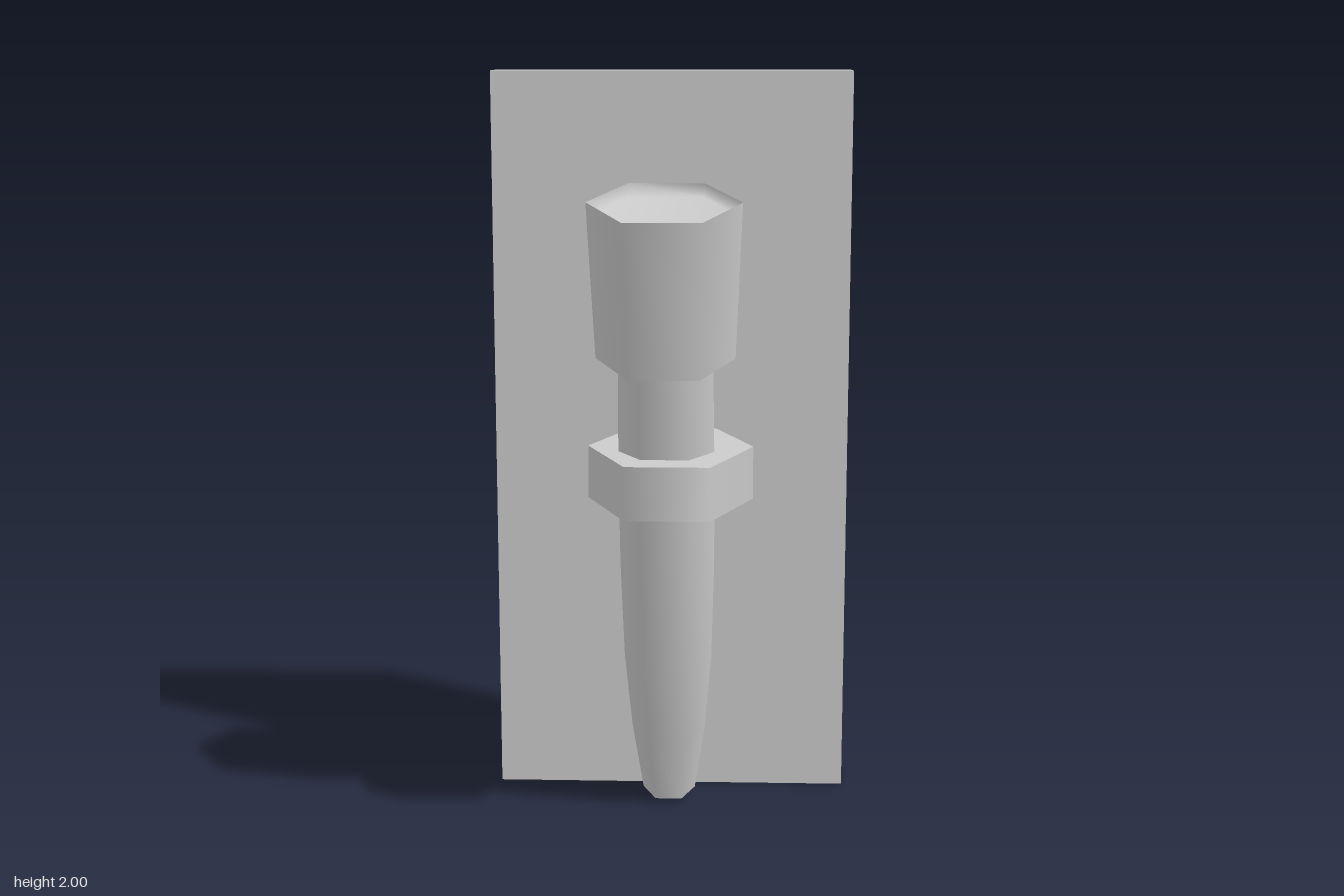
import * as THREE from 'three';

const SIDES = 6;
const material = new THREE.MeshStandardMaterial({ color: 0xcccccc });

function addMesh(parent, name, geometry) {
  const mesh = new THREE.Mesh(geometry, material);
  mesh.name = name;
  parent.add(mesh);
  return mesh;
}

// Six-sided turned part with a corner on the x axis; profile is [radius, height]
function turned(profile) {
  const points = profile.map(([r, y]) => new THREE.Vector2(r, y));
  return new THREE.LatheGeometry(points, SIDES, Math.PI / 2);
}

export function createModel() {
  const model = new THREE.Group();
  model.name = 'wallTorch';

  // Wall plate behind everything
  addMesh(model, 'wallPlate', new THREE.BoxGeometry(0.97, 2, 0.16))
    .position.set(0, 1, -0.31);

  // Hexagonal holder running into the plate
  const holder = addMesh(model, 'holder',
    new THREE.CylinderGeometry(0.218, 0.218, 0.14, SIDES, 1, false, Math.PI / 2));
  holder.scale.z = 1.43;
  holder.position.set(0.007, 0.96, 0.015);

  // Torch leaning away from the wall
  const torch = new THREE.Group();
  torch.name = 'torch';
  torch.position.set(-0.002, 0.025, -0.13);
  torch.rotation.x = 0.212;
  model.add(torch);

  // Tapered handle with a closed lower end
  addMesh(torch, 'handle', turned([
    [0.072, 0], [0.1, 0.2], [0.118, 0.42], [0.125, 0.7], [0.126, 0.95], [0.122, 1.29],
  ]));
  addMesh(torch, 'handleEnd', turned([[0, 0], [0.072, 0]]));

  // Flared head: bevelled underside, outer wall, shallow hollow on top
  addMesh(torch, 'headUnderside', turned([[0.12, 1.268], [0.179, 1.288]]));
  addMesh(torch, 'headWall', turned([[0.179, 1.288], [0.195, 1.7]]));
  addMesh(torch, 'headHollow', turned([[0.195, 1.7], [0.188, 1.665], [0, 1.665]]));

  return model;
}
